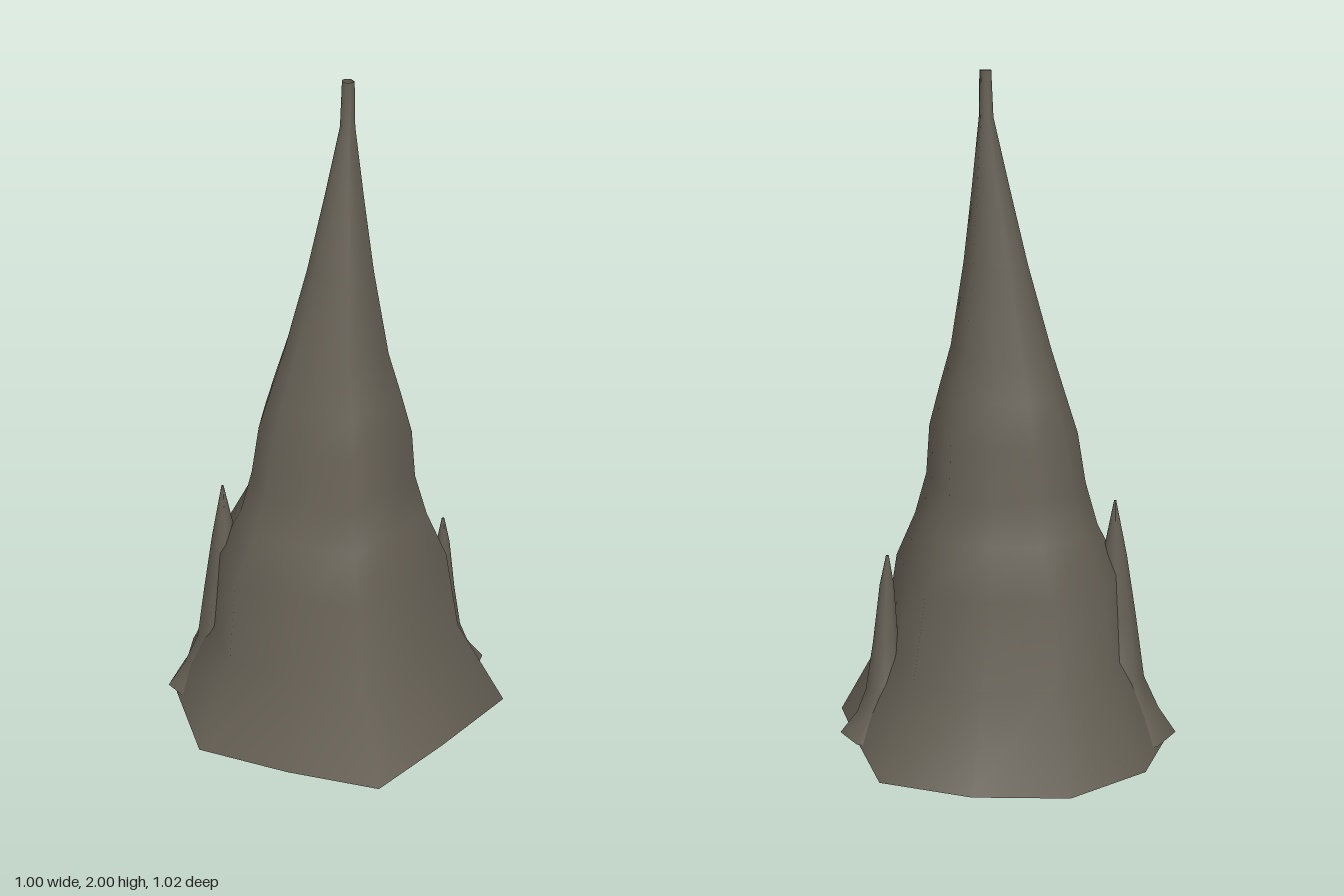
import * as THREE from 'three';

// Uneven footprint of the rock as [x, z] corners, scaled to -1..1
const footprint = [
  [0, -0.51], [0.27, -0.355], [0.5, -0.215], [0.455, 0.08], [0.4, 0.355], [0.13, 0.445],
  [-0.15, 0.51], [-0.375, 0.33], [-0.5, 0.08], [-0.465, -0.205], [-0.26, -0.395],
].map(([x, z]) => [x / 0.5, z / 0.51]);

// Rounder outline for the small spikes
const roundish = Array.from({ length: 8 }, (_, i) => {
  const a = (i / 8) * Math.PI * 2, r = i % 2 ? 1.06 : 0.95;
  return [Math.cos(a) * r, Math.sin(a) * r];
});

// Skins an open tube over levels of [y, xMin, xMax, zMin, zMax]
function skin(outline, levels) {
  const n = outline.length, positions = [], index = [];
  for (const [y, x0, x1, z0, z1] of levels) {
    for (const [u, v] of outline) {
      positions.push((x0 + x1) / 2 + (u * (x1 - x0)) / 2, y, (z0 + z1) / 2 + (v * (z1 - z0)) / 2);
    }
  }
  for (let j = 0; j < levels.length - 1; j++) {
    for (let i = 0; i < n; i++) {
      const a = j * n + i, b = j * n + ((i + 1) % n);
      index.push(a, a + n, b, b, a + n, b + n);
    }
  }
  const geometry = new THREE.BufferGeometry();
  geometry.setAttribute('position', new THREE.Float32BufferAttribute(positions, 3));
  geometry.setIndex(index);
  geometry.computeVertexNormals();
  return geometry;
}

// Spike levels from [y, centre x, centre z, radius]
const spike = (rows) => skin(roundish, rows.map(([y, x, z, r]) => [y, x - r, x + r, z - r, z + r]));

export function createModel() {
  const group = new THREE.Group();
  group.name = 'stalagmite';
  const stone = new THREE.MeshStandardMaterial({ color: 0x655f54, side: THREE.DoubleSide });
  stone.name = 'brown grey stone';

  const add = (name, geometry) => {
    const mesh = new THREE.Mesh(geometry, stone);
    mesh.name = name;
    group.add(mesh);
  };

  // Main body: flared foot, two bulges, tip leaning to the back, open at both ends
  add('mainSpire', skin(footprint, [
    [0, -0.5, 0.5, -0.51, 0.51],
    [0.27, -0.37, 0.36, -0.375, 0.39],
    [0.53, -0.35, 0.32, -0.335, 0.35],
    [0.67, -0.28, 0.26, -0.275, 0.28],
    [0.8, -0.25, 0.225, -0.235, 0.235],
    [0.95, -0.23, 0.21, -0.225, 0.21],
    [1.07, -0.195, 0.18, -0.19, 0.17],
    [1.2, -0.155, 0.14, -0.16, 0.13],
    [1.45, -0.095, 0.09, -0.125, 0.06],
    [1.67, -0.053, 0.053, -0.105, 0.005],
    [1.87, -0.02, 0.02, -0.09, -0.047],
    [2, -0.017, 0.017, -0.087, -0.055],
  ]));

  // Small spikes growing through the foot of the body
  add('frontSpike', spike([
    [0.02, -0.28, 0.21, 0.165],
    [0.1, -0.28, 0.21, 0.115],
    [0.2, -0.28, 0.21, 0.072],
    [0.4, -0.27, 0.21, 0.052],
    [0.58, -0.262, 0.205, 0.034],
    [0.75, -0.265, 0.2, 0.003],
  ]));
  add('backSpike', spike([
    [0.01, 0.235, -0.255, 0.14],
    [0.08, 0.235, -0.255, 0.09],
    [0.15, 0.238, -0.26, 0.06],
    [0.3, 0.24, -0.26, 0.036],
    [0.48, 0.24, -0.252, 0.02],
    [0.57, 0.24, -0.248, 0.004],
  ]));
  return group;
}
